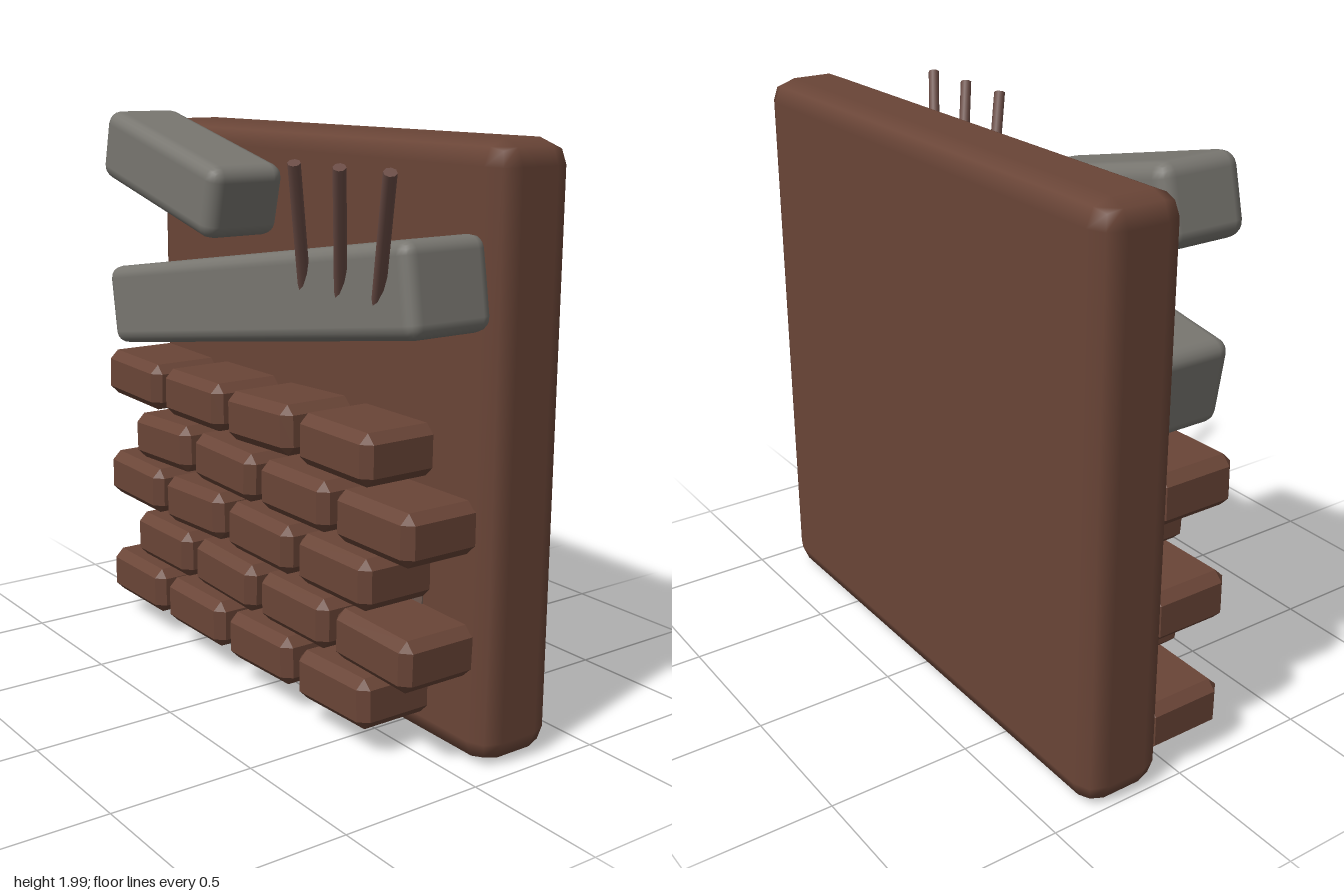
import * as THREE from 'three';
import { RoundedBoxGeometry } from 'three/addons/geometries/RoundedBoxGeometry.js';
import { ConvexGeometry } from 'three/addons/geometries/ConvexGeometry.js';

const material = (name, color) => {
  const m = new THREE.MeshStandardMaterial({ color });
  m.name = name;
  return m;
};

// Box with a single flat chamfer along every edge
function chamferedBox(w, h, d, c) {
  const points = [];
  for (const x of [-1, 1]) for (const y of [-1, 1]) for (const z of [-1, 1]) {
    const [X, Y, Z] = [w / 2, h / 2, d / 2];
    points.push(
      new THREE.Vector3(x * X, y * (Y - c), z * (Z - c)),
      new THREE.Vector3(x * (X - c), y * Y, z * (Z - c)),
      new THREE.Vector3(x * (X - c), y * (Y - c), z * Z));
  }
  return new ConvexGeometry(points);
}

export function createModel() {
  const model = new THREE.Group();
  const brown = material('brick brown', 0x6a4537);
  const grey = material('stone grey', 0x787670);
  const nailBrown = material('nail brown', 0x6a4c45);
  const mortarGrey = material('mortar', 0x705a50);

  function add(name, geometry, mat, x, y, z, roll = 0) {
    const mesh = new THREE.Mesh(geometry, mat);
    mesh.name = name;
    mesh.position.set(x, y, z);
    mesh.rotation.z = THREE.MathUtils.degToRad(roll);
    model.add(mesh);
    return mesh;
  }

  // Wall slab and the two tilted stone beams
  add('wallSlab', new RoundedBoxGeometry(1.95, 1.96, 0.3, 1, 0.08), brown, -0.025, 0.98, -0.225);
  add('longBeam', new RoundedBoxGeometry(1.79, 0.29, 0.32, 2, 0.045), grey, 0.02, 1.41, 0.065, 9);
  add('shortBeam', new RoundedBoxGeometry(0.77, 0.255, 0.3, 2, 0.05), grey, -0.525, 1.79, 0.07, -13.7);

  // Five staggered courses of bricks, each with its own small tilt in degrees
  const courses = [
    [0.18, [0, 0, 1.5, 1.5]],
    [0.385, [0, -2, 0, -1.5]],
    [0.585, [-1, 2, -1, 0]],
    [0.785, [2, -1.5, 0, 0]],
    [0.99, [-1.5, 0, 2, -0.5]],
  ];
  const brick = chamferedBox(0.375, 0.172, 0.31, 0.032);
  courses.forEach(([y, tilts], row) => tilts.forEach((tilt, i) =>
    add('brick', brick, brown, (row % 2 ? -0.58 : -0.783) + i * 0.424, y, 0.037, tilt)));

  // Thin mortar patches showing between the courses
  const patch = new THREE.BoxGeometry(0.09, 0.07, 0.008);
  const patches = [[-0.37, 0.885], [-0.28, 0.885], [0.03, 0.885], [0.61, 0.685],
    [-0.72, 0.485], [-0.48, 0.485], [0.14, 0.485], [0.6, 0.485], [-0.72, 0.285], [-0.46, 0.285]];
  for (const [x, y] of patches) add('mortarPatch', patch, mortarGrey, x, y, -0.074);

  // Three slanted nails driven into the long beam
  const up = new THREE.Vector3(0, 1, 0);
  for (const [x0, x1] of [[0.39, 0.53], [0.58, 0.75], [0.765, 0.975]]) {
    const tip = new THREE.Vector3(x1, 1.89, 0.355);
    const entry = new THREE.Vector3(x0, 1.53, 0.22);
    const base = entry.clone().lerp(tip, -0.2);
    const direction = tip.clone().sub(base);
    const geometry = new THREE.CylinderGeometry(0.02, 0.02, direction.length(), 8);
    const middle = base.clone().add(tip).multiplyScalar(0.5);
    const nail = add('nail', geometry, nailBrown, middle.x, middle.y, middle.z);
    nail.quaternion.setFromUnitVectors(up, direction.normalize());
  }
  return model;
}
